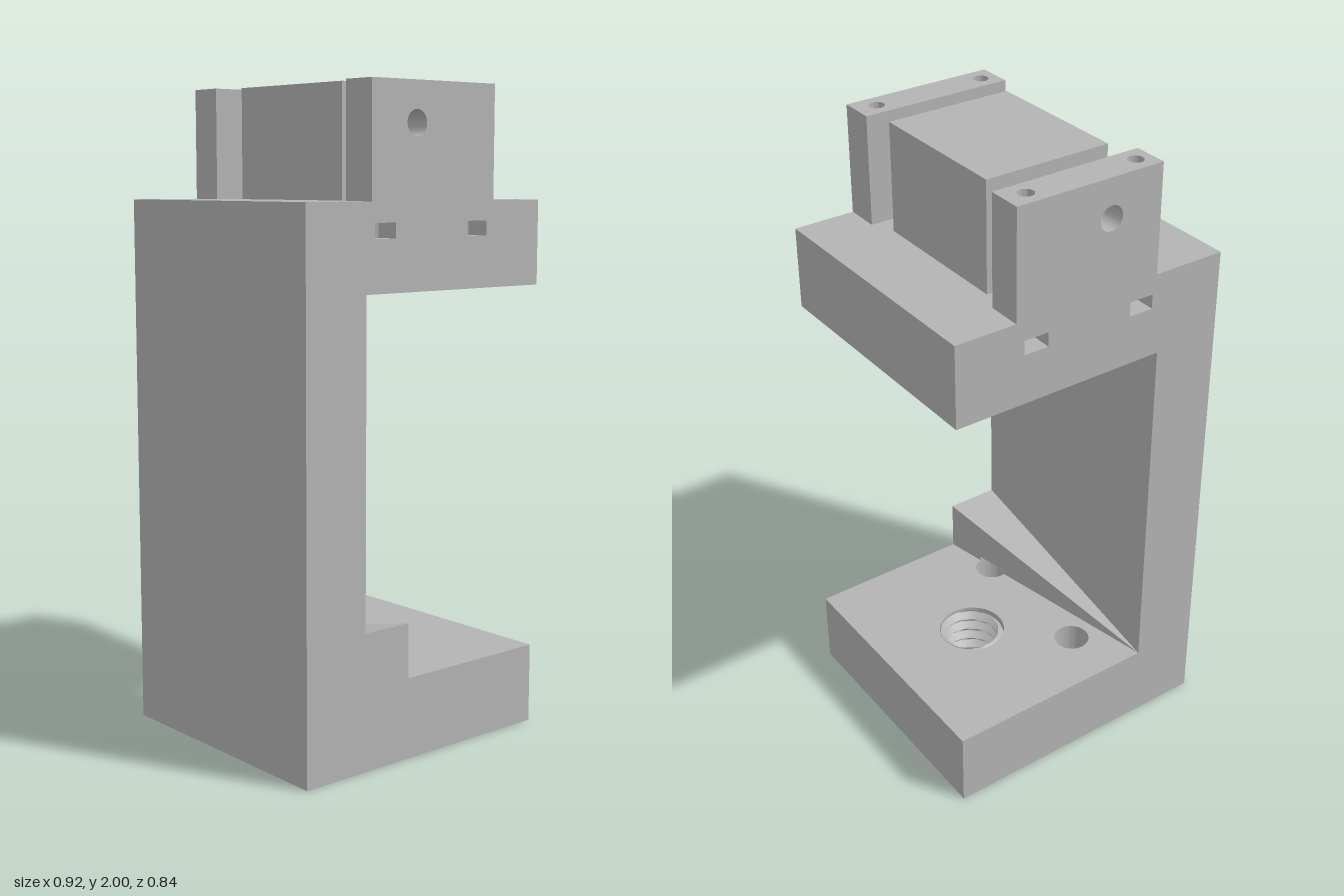
import * as THREE from 'three';
import { toCreasedNormals } from 'three/addons/utils/BufferGeometryUtils.js';

export function createModel() {
  const group = new THREE.Group();
  const grey = new THREE.MeshStandardMaterial({ color: 0xb3b3b3, side: THREE.DoubleSide });

  const add = (name, geometry, parent = group) => {
    const mesh = new THREE.Mesh(toCreasedNormals(geometry, 0.6), grey);
    mesh.name = name;
    parent.add(mesh);
    return mesh;
  };
  const box = (name, x0, x1, y0, y1, z0, z1) => {
    const g = new THREE.BoxGeometry(x1 - x0, y1 - y0, z1 - z0);
    return add(name, g.translate((x0 + x1) / 2, (y0 + y1) / 2, (z0 + z1) / 2));
  };
  const outline = (pts, holes) => {
    const s = new THREE.Shape(pts.map(([a, b]) => new THREE.Vector2(a, b)));
    for (const [a, b, r] of holes) s.holes.push(new THREE.Path().absarc(a, b, r, 0, Math.PI * 2, true));
    return s;
  };
  const rect = (a0, a1, b0, b1) => [[a0, b0], [a1, b0], [a1, b1], [a0, b1]];
  const extrude = (shape, depth) =>
    new THREE.ExtrudeGeometry(shape, { depth, bevelEnabled: false, curveSegments: 24 });
  // Plan outline in (x, z), raised from y0 to y1
  const slab = (name, pts, holes, y0, y1) => {
    const s = outline(pts.map(([x, z]) => [x, -z]), holes.map(([x, z, r]) => [x, -z, r]));
    add(name, extrude(s, y1 - y0).rotateX(-Math.PI / 2).translate(0, y0, 0));
  };
  // Front outline in (x, y), running from z0 to z1
  const block = (name, pts, holes, z0, z1) =>
    add(name, extrude(outline(pts, holes), z1 - z0).translate(0, 0, z0));

  const X = 0.46, Z = 0.42, BASE = 0.25, ARM = 1.4, DECK = 1.66, TOP = 2;
  const SPINE = -0.24, SLOT0 = 1.555, SLOT1 = 1.6;
  const bolts = [-0.17, 0.195], BZ = 0.365, BR = 0.024;
  const screw = [0.137, 0, 0.108], pin = 0.057, pinX = -0.108, pinZ = 0.23;
  const crossHole = [-0.05, 1.88, 0.038];

  // Base plate, upright and upper arm
  slab('basePlate', rect(-X, X, -Z, Z), [screw, [pinX, pinZ, pin], [pinX, -pinZ, pin]], 0, BASE);
  box('spine', -X, SPINE, BASE, ARM, -Z, Z);
  box('upperArm', -X, X, ARM, SLOT0, -Z, Z);

  // Nut slots cut into the front and back of the arm
  const slot = (x, s) => [[x - 0.04, s * Z], [x - 0.04, s * 0.345], [x, s * 0.322],
    [x + 0.04, s * 0.345], [x + 0.04, s * Z]];
  const slotted = [[-X, Z], ...bolts.flatMap((x) => slot(x, 1)), [X, Z],
    [X, -Z], ...bolts.flatMap((x) => slot(x, -1)).reverse(), [-X, -Z]];
  slab('nutSlotLayer', slotted, [], SLOT0, SLOT1);
  const boltHoles = bolts.flatMap((x) => [[x, BZ, BR], [x, -BZ, BR]]);
  slab('armDeck', rect(-X, X, -Z, Z), boltHoles, SLOT1, DECK);

  // Front and back lugs: bolt holes run down, the cross hole runs through
  for (const [side, z0, z1] of [['front', 0.31, Z], ['back', -Z, -0.31]]) {
    const bz = side === 'front' ? BZ : -BZ;
    slab(side + 'LugRight', rect(-0.222, -0.12, z0, z1), [[bolts[0], bz, BR]], DECK, TOP);
    block(side + 'LugCentre', rect(-0.12, 0.14, DECK, TOP), [crossHole], z0, z1);
    slab(side + 'LugLeft', rect(0.14, 0.263, z0, z1), [[bolts[1], bz, BR]], DECK, TOP);
  }
  block('centreBlock', rect(-0.175, 0.232, DECK, TOP), [crossHole], -0.24, 0.238);

  // Internal screw thread: a tube whose radius follows a helix
  const thread = new THREE.CylinderGeometry(1, 1, BASE, 48, 75, true);
  const p = thread.attributes.position;
  for (let i = 0; i < p.count; i++) {
    const angle = Math.atan2(p.getZ(i), p.getX(i)), y = p.getY(i);
    const phase = y / 0.042 + angle / (Math.PI * 2);
    const r = 0.107 - 0.022 * (1 - Math.abs(2 * (phase - Math.floor(phase)) - 1));
    p.setXYZ(i, r * Math.cos(angle), y, r * Math.sin(angle));
  }
  add('screwThread', thread.translate(screw[0], BASE / 2, screw[1]));

  // Tapered wedge against the spine, narrowing to the back corner
  const wedge = new THREE.Group();
  wedge.name = 'wedge';
  group.add(wedge);
  const W = 0.17, H = 0.17, L = Math.hypot(W, 2 * Z), notch = 0.015;
  const top = new THREE.BufferGeometry();
  top.setAttribute('position', new THREE.Float32BufferAttribute([
    SPINE, BASE + H, Z, SPINE + W, BASE + H, Z, SPINE, BASE, -Z], 3));
  add('wedgeTop', top, wedge);
  add('wedgeFront', new THREE.PlaneGeometry(W, H).translate(SPINE + W / 2, BASE + H / 2, Z), wedge);
  const s = (Z - pinZ) / (2 * Z) * L;
  const side = outline([[0, 0], [s - pin, 0], [s - pin, notch], [s + pin, notch], [s + pin, 0], [L, 0], [0, H]], []);
  add('wedgeSide', new THREE.ShapeGeometry(side)
    .rotateY(Math.atan2(2 * Z, -W)).translate(SPINE + W, BASE, Z), wedge);
  // Shallow end of the pin hole inside the wedge
  const a = Math.atan2(-2 * Z, W), b = Math.atan2(W, -2 * Z);
  add('pinPocketWall', new THREE.CylinderGeometry(pin, pin, notch, 24, 1, true, a - Math.PI / 2, Math.PI)
    .translate(pinX, BASE + notch / 2, pinZ), wedge);
  add('pinPocketEnd', new THREE.CircleGeometry(pin, 24, b - Math.PI / 2, Math.PI)
    .rotateX(Math.PI / 2).translate(pinX, BASE + notch, pinZ), wedge);

  return group;
}
